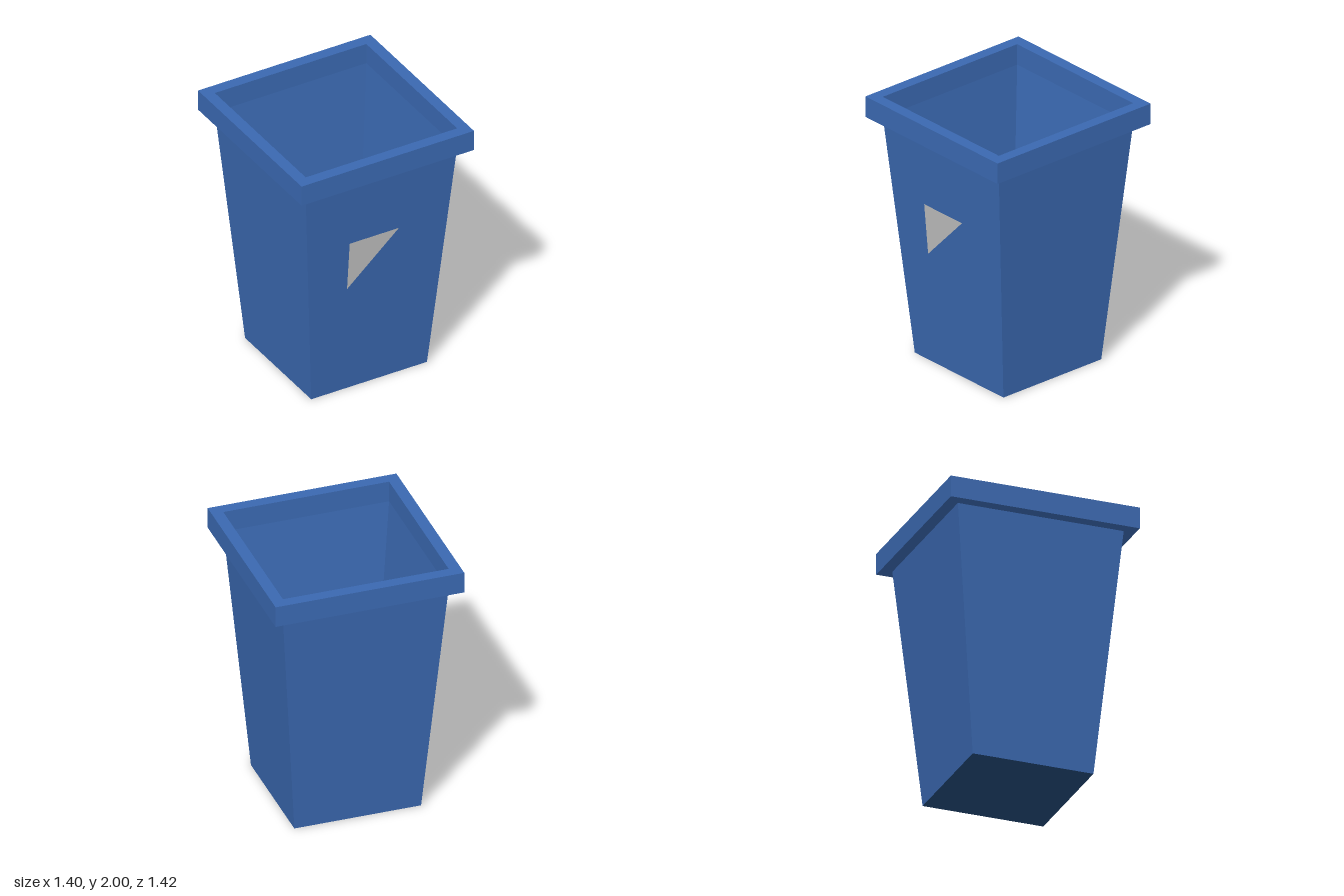
import * as THREE from 'three';

const blue = new THREE.MeshStandardMaterial({ color: 0x3a68b0 });
blue.name = 'bin blue';
const darkBlue = new THREE.MeshStandardMaterial({ color: 0x224876 });
darkBlue.name = 'floor blue';
const grey = new THREE.MeshStandardMaterial({ color: 0xc0c0c0 });
grey.name = 'label grey';

// Four-sided skin through rectangular rings [halfX, y, halfZ], with sharp edges.
function skin(rings) {
  const corners = ([x, y, z]) => [[-x, y, z], [x, y, z], [x, y, -z], [-x, y, -z]];
  const points = [];
  for (let r = 0; r < rings.length - 1; r++) {
    const low = corners(rings[r]);
    const high = corners(rings[r + 1]);
    for (let i = 0; i < 4; i++) {
      const j = (i + 1) % 4;
      points.push(...low[i], ...low[j], ...high[j], ...low[i], ...high[j], ...high[i]);
    }
  }
  const geometry = new THREE.BufferGeometry();
  geometry.setAttribute('position', new THREE.Float32BufferAttribute(points, 3));
  geometry.computeVertexNormals();
  return geometry;
}

export function createModel() {
  const group = new THREE.Group();
  group.name = 'bin';
  const add = (name, geometry, material) => {
    const mesh = new THREE.Mesh(geometry, material);
    mesh.name = name;
    group.add(mesh);
    return mesh;
  };

  const base = [0.47, 0, 0.455];
  const neck = [0.615, 1.84, 0.625];
  const floor = [0.415, 0.04, 0.403];

  // Tapered walls, outside and inside
  add('outerWalls', skin([base, neck]), blue);
  add('innerWalls', skin([neck, floor]), blue);

  // Overhanging square rim
  add('rim', skin([neck, [0.7, 1.84, 0.712], [0.7, 2, 0.712], [0.615, 2, 0.625], neck]), blue);

  // Floor seen from inside and underside
  const inside = add('floor', new THREE.PlaneGeometry(floor[0] * 2, floor[2] * 2), darkBlue);
  inside.rotation.x = -Math.PI / 2;
  inside.position.y = floor[1];
  const underside = add('underside', new THREE.PlaneGeometry(base[0] * 2, base[2] * 2), darkBlue);
  underside.rotation.x = Math.PI / 2;

  // Triangular label lying on the sloping front wall
  const slope = Math.atan2(neck[2] - base[2], neck[1]);
  const height = 0.4 / Math.cos(slope);
  const triangle = new THREE.Shape([
    new THREE.Vector2(-0.23, 0),
    new THREE.Vector2(0.17, height),
    new THREE.Vector2(-0.23, height),
  ]);
  const label = add('frontLabel', new THREE.ShapeGeometry(triangle), grey);
  label.rotation.x = slope;
  label.position.set(0, 0.89, base[2] + 0.89 * Math.tan(slope) + 0.004);

  return group;
}
